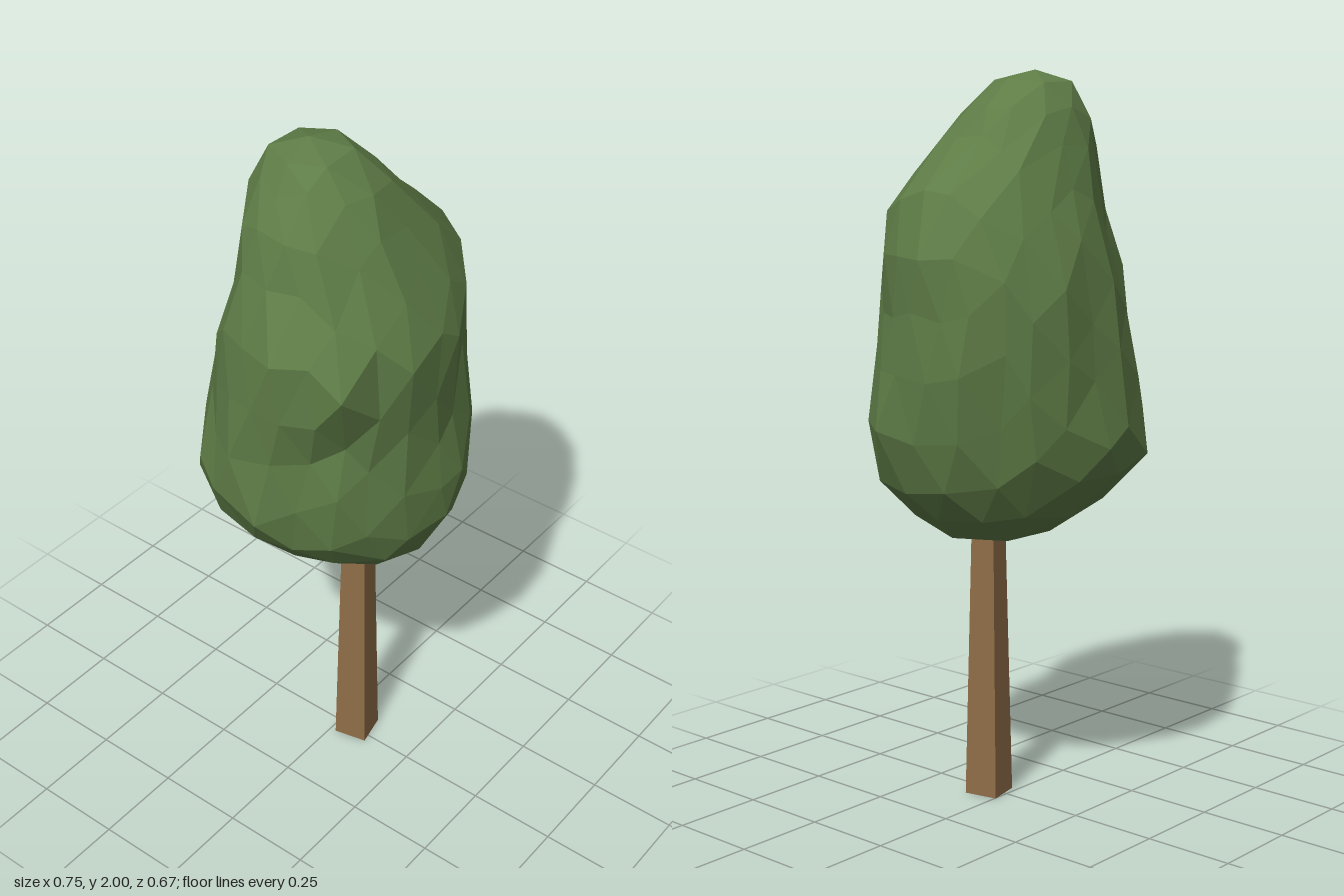
import * as THREE from 'three';

// Crown extents by height: y, xMin, xMax, zMin, zMax
const LEVELS = [
  [0.735, -0.06, 0.08, -0.06, 0.14],
  [0.76, -0.13, 0.16, -0.11, 0.19],
  [0.80, -0.19, 0.21, -0.20, 0.26],
  [0.88, -0.29, 0.29, -0.27, 0.31],
  [0.97, -0.37, 0.34, -0.33, 0.325],
  [1.10, -0.37, 0.375, -0.33, 0.33],
  [1.28, -0.37, 0.375, -0.315, 0.31],
  [1.48, -0.385, 0.365, -0.30, 0.33],
  [1.60, -0.33, 0.365, -0.26, 0.295],
  [1.73, -0.29, 0.30, -0.22, 0.22],
  [1.80, -0.28, 0.19, -0.205, 0.195],
  [1.94, -0.19, 0.07, -0.17, 0.12],
  [2.00, -0.15, 0.0, -0.10, 0.03],
];

function extentsAt(y) {
  let i = 1;
  while (i < LEVELS.length - 1 && LEVELS[i][0] < y) i++;
  const a = LEVELS[i - 1], b = LEVELS[i];
  const t = THREE.MathUtils.clamp((y - a[0]) / (b[0] - a[0]), 0, 1);
  return a.map((v, k) => v + (b[k] - v) * t);
}

// Repeatable jitter in -1..1, equal for corners that share a position
function jitter(v, seed) {
  const k = Math.round(v.x * 100) * 12.99 + Math.round(v.y * 100) * 78.23
    + Math.round(v.z * 100) * 37.72 + seed * 11.3;
  const s = Math.sin(k) * 43758.5453;
  return (s - Math.floor(s)) * 2 - 1;
}

const bump = (d, width) => Math.exp(-(d * d) / (width * width));

// Faceted sphere fitted to the extents, with bulges and a hollow
function crownGeometry() {
  const geo = new THREE.IcosahedronGeometry(1, 3);
  const pos = geo.attributes.position;
  const v = new THREE.Vector3();
  for (let i = 0; i < pos.count; i++) {
    v.fromBufferAttribute(pos, i);
    const ring = Math.hypot(v.x, v.z);
    const angle = ring > 1e-4 ? Math.atan2(v.z, v.x) + jitter(v, 1) * 0.05 : 0;
    const y = 1.3675 + 0.6325 * v.y + jitter(v, 2) * 0.025 * ring;
    const [, x0, x1, z0, z1] = extentsAt(y);
    const diagonal = Math.sin(2 * angle);
    let r = ring > 1e-4 ? 1 + jitter(v, 3) * 0.035 : 0;
    r *= 1 + diagonal * (0.09 * bump(y - 1.0, 0.2) - 0.06 * bump(y - 1.5, 0.15));
    // hollow on the front, right-hand side
    const turn = Math.atan2(Math.sin(angle - 2.45), Math.cos(angle - 2.45));
    r *= 1 - 0.12 * bump(turn, 0.4) * bump(y - 1.25, 0.13);
    pos.setXYZ(i,
      (x0 + x1) / 2 + (x1 - x0) / 2 * Math.cos(angle) * r,
      y,
      (z0 + z1) / 2 + (z1 - z0) / 2 * Math.sin(angle) * r);
  }
  geo.computeVertexNormals();
  return geo;
}

// Four-sided tapering trunk, open at the ends
function trunkGeometry() {
  const height = 0.85;
  const geo = new THREE.CylinderGeometry(0.046, 0.068, height, 4, 1, true);
  geo.rotateY(Math.PI / 4 + 0.22);
  geo.translate(0.012, height / 2 + 0.005, 0.055);
  return geo;
}

export function createModel() {
  const tree = new THREE.Group();
  tree.name = 'tree';

  const crown = new THREE.Mesh(crownGeometry(),
    new THREE.MeshStandardMaterial({ color: 0x5f7d47, flatShading: true }));
  crown.name = 'crown';

  const trunk = new THREE.Mesh(trunkGeometry(),
    new THREE.MeshStandardMaterial({ color: 0x8f6d47, flatShading: true, side: THREE.DoubleSide }));
  trunk.name = 'trunk';

  tree.add(crown, trunk);
  return tree;
}
